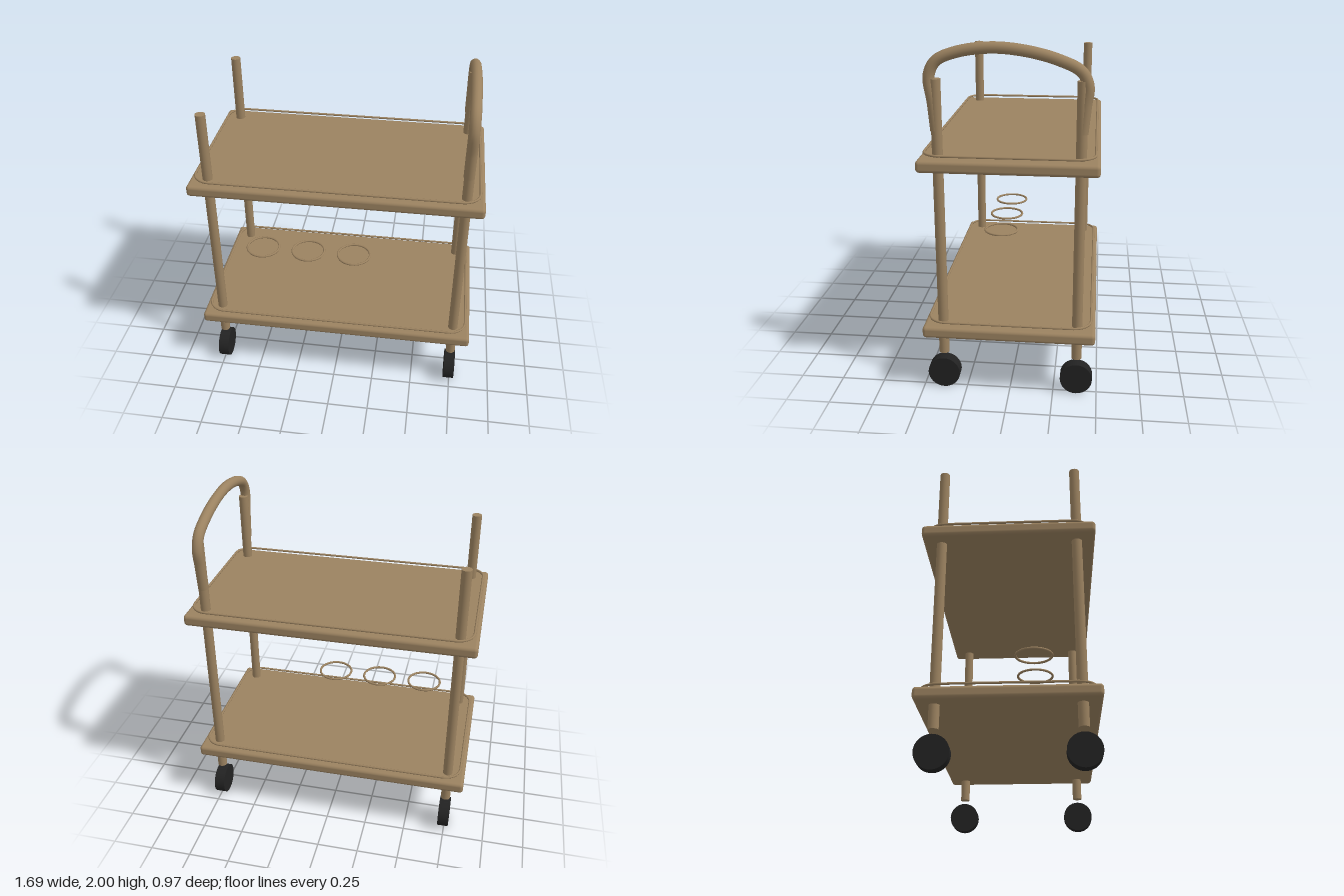
import * as THREE from 'three';
import { RoundedBoxGeometry } from 'three/addons/geometries/RoundedBoxGeometry.js';

export function createModel() {
  const model = new THREE.Group();
  model.name = 'servingCart';

  const bronze = new THREE.MeshStandardMaterial({ color: 0x9b8260 });
  bronze.name = 'bronze';
  const rubber = new THREE.MeshStandardMaterial({ color: 0x222222 });
  rubber.name = 'black rubber';

  const add = (name, geometry, material, x = 0, y = 0, z = 0) => {
    const mesh = new THREE.Mesh(geometry, material);
    mesh.name = name;
    mesh.position.set(x, y, z);
    model.add(mesh);
    return mesh;
  };

  // Guard rail path: a rounded rectangle lying flat
  const railPath = new THREE.CurvePath();
  const rx = 0.817, rz = 0.459, r = 0.1;
  const v = (x, z) => new THREE.Vector3(x, 0, z);
  const corners = [[1, 1], [-1, 1], [-1, -1], [1, -1]];
  corners.forEach(([sx, sz], i) => {
    const alongX = v(sx * (rx - r), sz * rz);
    const alongZ = v(sx * rx, sz * (rz - r));
    const [a, b] = i % 2 === 0 ? [alongZ, alongX] : [alongX, alongZ];
    const k = 0.552;
    const corner = v(sx * rx, sz * rz);
    railPath.add(new THREE.CubicBezierCurve3(a, a.clone().lerp(corner, k), b.clone().lerp(corner, k), b));
    const [nx, nz] = corners[(i + 1) % 4];
    const next = i % 2 === 0 ? v(nx * (rx - r), nz * rz) : v(nx * rx, nz * (rz - r));
    railPath.add(new THREE.LineCurve3(b, next));
  });
  const railGeometry = new THREE.TubeGeometry(railPath, 240, 0.007, 8, true);

  // Two trays, each with a thin rail just above
  const trayGeometry = new RoundedBoxGeometry(1.694, 0.068, 0.97, 4, 0.02);
  for (const [name, y] of [['lower', 0.382], ['upper', 1.354]]) {
    add(name + 'Tray', trayGeometry, bronze, 0, y, 0);
    add(name + 'Rail', railGeometry, bronze, 0, y + 0.055, 0);
  }

  // Four posts with a wheel below each
  const postGeometry = new THREE.CylinderGeometry(0.029, 0.029, 1.59, 20);
  const wheelGeometry = new THREE.CylinderGeometry(0.092, 0.092, 0.066, 32).rotateZ(Math.PI / 2);
  for (const [sx, sz] of corners) {
    const side = (sz > 0 ? 'front' : 'back') + (sx > 0 ? 'Left' : 'Right');
    add(side + 'Post', postGeometry, bronze, sx * 0.743, 1.01, sz * 0.382);
    add(side + 'Wheel', wheelGeometry, rubber, sx * 0.743, 0.092, sz * 0.382);
  }

  // Push handle, bowed and slightly taller towards the front
  const handlePath = new THREE.CatmullRomCurve3([
    [1.53, 0.385], [1.68, 0.398], [1.82, 0.414], [1.895, 0.376], [1.942, 0.27], [1.967, 0.09],
    [1.952, -0.09], [1.908, -0.26], [1.85, -0.375], [1.775, -0.41], [1.68, -0.4], [1.53, -0.385],
  ].map(([y, z]) => new THREE.Vector3(0.741, y, z)));
  add('pushHandle', new THREE.TubeGeometry(handlePath, 90, 0.031, 14, false), bronze);
  for (const s of [1, -1]) {
    add(s > 0 ? 'frontHandleEnd' : 'backHandleEnd',
      new THREE.CircleGeometry(0.031, 14).rotateX(Math.PI / 2), bronze, 0.741, 1.53, s * 0.385);
  }

  // Row of three bottle rings
  const ringGeometry = new THREE.TorusGeometry(0.103, 0.007, 8, 40).rotateX(Math.PI / 2);
  for (let i = 0; i < 3; i++) {
    add('bottleRing' + (i + 1), ringGeometry, bronze, -0.513 + i * 0.297, 0.722, 0.128);
  }

  return model;
}
